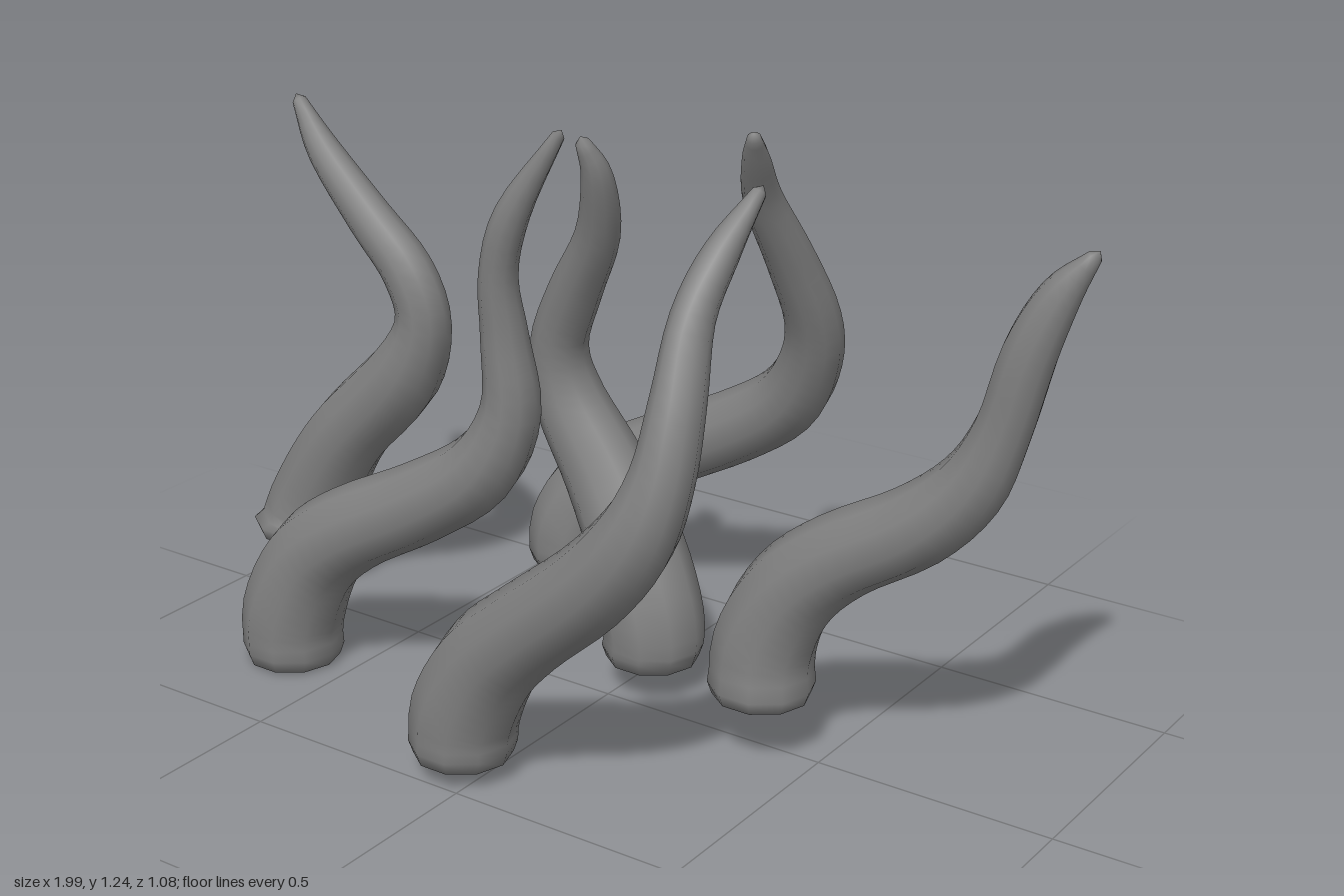
import * as THREE from 'three';

const SIDES = 10;
const STEPS = 4; // rings per path section

// each path point is [x, y, z, radius], from base to tip
const TENTACLES = {
  leftmostCurledTentacle: [
    [-0.872, 0.13, -0.08, 0.118], [-0.85, 0.21, -0.08, 0.102], [-0.79, 0.32, -0.075, 0.093],
    [-0.715, 0.42, -0.07, 0.087], [-0.58, 0.56, -0.07, 0.082], [-0.517, 0.69, -0.065, 0.06],
    [-0.55, 0.8, -0.06, 0.055], [-0.65, 0.9, -0.06, 0.048], [-0.77, 1.02, -0.065, 0.036],
    [-0.838, 1.12, -0.068, 0.015],
  ],
  frontLeftTentacle: [
    [-0.645, 0.01, 0.235, 0.102], [-0.64, 0.12, 0.235, 0.107], [-0.58, 0.25, 0.23, 0.1],
    [-0.47, 0.345, 0.23, 0.09], [-0.3, 0.44, 0.215, 0.083], [-0.16, 0.54, 0.2, 0.075],
    [-0.095, 0.67, 0.19, 0.06], [-0.1, 0.82, 0.198, 0.047], [-0.1, 0.95, 0.215, 0.038],
    [-0.06, 1.08, 0.22, 0.034], [0.032, 1.235, 0.202, 0.013],
  ],
  backTentacle: [
    [-0.375, 0.06, -0.41, 0.102], [-0.37, 0.16, -0.41, 0.105], [-0.31, 0.27, -0.425, 0.095],
    [-0.18, 0.355, -0.455, 0.085], [0, 0.45, -0.465, 0.08], [0.13, 0.54, -0.46, 0.075],
    [0.2, 0.65, -0.435, 0.066], [0.225, 0.76, -0.395, 0.058], [0.215, 0.9, -0.32, 0.05],
    [0.205, 1.04, -0.23, 0.04], [0.23, 1.14, -0.16, 0.028], [0.25, 1.195, -0.118, 0.014],
  ],
  middleTentacle: [
    [0.055, 0.077, -0.08, 0.1], [0.055, 0.17, -0.08, 0.105], [0.0, 0.3, -0.1, 0.1],
    [-0.09, 0.44, -0.12, 0.088], [-0.18, 0.58, -0.12, 0.074], [-0.195, 0.7, -0.105, 0.06],
    [-0.14, 0.83, -0.085, 0.055], [-0.06, 0.97, -0.05, 0.045], [-0.025, 1.1, 0.0, 0.032],
    [-0.035, 1.175, 0.033, 0.015],
  ],
  frontTentacle: [
    [-0.045, 0.047, 0.42, 0.102], [-0.035, 0.15, 0.42, 0.107], [0.03, 0.27, 0.425, 0.1],
    [0.13, 0.37, 0.44, 0.09], [0.28, 0.5, 0.455, 0.084], [0.38, 0.62, 0.458, 0.075],
    [0.425, 0.74, 0.44, 0.06], [0.43, 0.87, 0.4, 0.051], [0.415, 1.0, 0.335, 0.041],
    [0.425, 1.1, 0.262, 0.034], [0.45, 1.195, 0.182, 0.014],
  ],
  rightmostTentacle: [
    [0.383, 0.135, 0.027, 0.102], [0.385, 0.25, 0.02, 0.102], [0.44, 0.37, 0.015, 0.093],
    [0.54, 0.465, 0.01, 0.085], [0.69, 0.56, 0, 0.079], [0.79, 0.66, -0.01, 0.068],
    [0.845, 0.78, -0.015, 0.054], [0.885, 0.93, -0.02, 0.051], [0.93, 1.04, -0.03, 0.039],
    [0.985, 1.118, -0.04, 0.014],
  ],
};

function tentacleGeometry(points) {
  const path = new THREE.CatmullRomCurve3(
    points.map(([x, y, z]) => new THREE.Vector3(x, y, z)), false, 'catmullrom', 0.5);
  const radii = new THREE.CatmullRomCurve3(
    points.map((p) => new THREE.Vector3(p[3], 0, 0)), false, 'catmullrom', 0.5);
  const positions = [];
  const index = [];
  const up = new THREE.Vector3(0, 1, 0);
  const zAxis = new THREE.Vector3(0, 0, 1);

  const addRing = (t, scale = 1, shift = 0) => {
    // rings near the foot lie level with the ground
    const level = Math.max(0, 1 - t * (points.length - 1));
    const tangent = path.getTangent(t).lerp(up, level).normalize();
    const u = tangent.clone().cross(zAxis).normalize();
    const v = tangent.clone().cross(u);
    const centre = path.getPoint(t).addScaledVector(tangent, shift);
    const r = radii.getPoint(t).x * scale;
    for (let j = 0; j < SIDES; j++) {
      const a = (j / SIDES) * Math.PI * 2;
      const p = centre.clone()
        .addScaledVector(u, r * Math.cos(a))
        .addScaledVector(v, r * Math.sin(a));
      positions.push(p.x, p.y, p.z);
    }
  };

  // soft-edged foot, then the tapering body
  const count = (points.length - 1) * STEPS;
  addRing(0, 0.7);
  addRing(0, 0.95, 0.004);
  addRing(0, 1.04, 0.03);
  for (let i = 2; i <= count; i++) addRing(i / count);
  const rings = count + 2;
  for (let i = 0; i < rings - 1; i++) {
    for (let j = 0; j < SIDES; j++) {
      const k = (j + 1) % SIDES;
      const a = i * SIDES + j, b = i * SIDES + k;
      index.push(a, b, a + SIDES, b, b + SIDES, a + SIDES);
    }
  }

  // close the underside and the pointed tip
  const base = path.getPoint(0);
  const tip = path.getPoint(1).addScaledVector(path.getTangent(1), 0.014);
  const baseIndex = rings * SIDES;
  positions.push(...base, ...tip);
  const last = (rings - 1) * SIDES;
  for (let j = 0; j < SIDES; j++) {
    const k = (j + 1) % SIDES;
    index.push(k, j, baseIndex, last + j, last + k, baseIndex + 1);
  }

  const geometry = new THREE.BufferGeometry();
  geometry.setAttribute('position', new THREE.Float32BufferAttribute(positions, 3));
  geometry.setIndex(index);
  geometry.computeVertexNormals();
  return geometry;
}

export function createModel() {
  const model = new THREE.Group();
  model.name = 'tentacles';
  const material = new THREE.MeshStandardMaterial({ color: 0x808080 });
  for (const [name, points] of Object.entries(TENTACLES)) {
    const mesh = new THREE.Mesh(tentacleGeometry(points), material);
    mesh.name = name;
    model.add(mesh);
  }
  return model;
}
